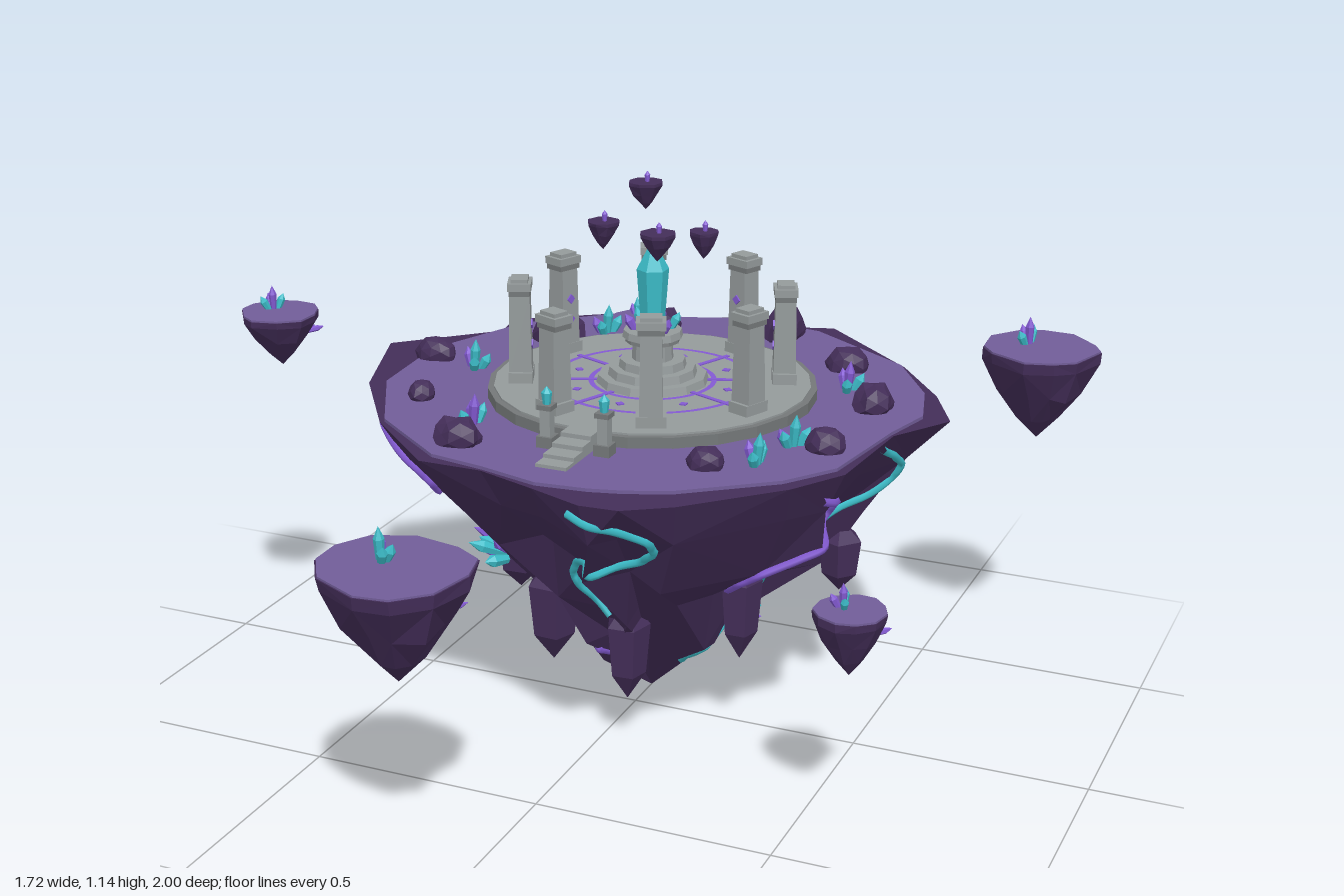
import * as THREE from 'three';

const mat = (name, color) => Object.assign(new THREE.MeshStandardMaterial({ color }), { name });
const V = (x, y, z) => new THREE.Vector3(x, y, z);
const UP = V(0, 1, 0);

function seeded(s) {
  return () => (s = (s * 16807) % 2147483647) / 2147483647;
}

// facet a geometry: every face gets its own normal
function flat(geo) {
  const g = geo.index ? geo.toNonIndexed() : geo;
  g.computeVertexNormals();
  return g;
}

function add(parent, name, geo, material, x = 0, y = 0, z = 0) {
  const m = new THREE.Mesh(geo, material);
  m.name = name;
  m.position.set(x, y, z);
  parent.add(m);
  return m;
}

function group(parent, name, x = 0, y = 0, z = 0) {
  const g = new THREE.Group();
  g.name = name;
  g.position.set(x, y, z);
  parent.add(g);
  return g;
}

// inverted rock: a rim, ridged and jittered rings [depth fraction, radius fraction], a lowest point
function rockGeo(rim, top, depth, levels, jitter = 0, rand = seeded(7)) {
  const n = rim.length, mean = rim.reduce((s, p) => s + Math.hypot(...p), 0) / n;
  const rings = [rim.map(([x, z]) => V(x, top, z))];
  for (const [d, f] of levels) {
    const rough = jitter * Math.min(1, d * 3);
    rings.push(rim.map(([x, z], j) => {
      const r = Math.hypot(x, z), a = Math.atan2(z, x) + (rand() - 0.5) * rough * 0.7;
      const ridge = 1 + rough * ((j % 2 ? 0.15 : -0.15) + rand() - 0.5);
      const q = (r + (mean - r) * (jitter ? d : 0)) * f * ridge;
      return V(Math.cos(a) * q, top - depth * (d + (rand() - 0.5) * rough * 0.35), Math.sin(a) * q);
    }));
  }
  const tris = [], c = V(0, top, 0), tip = V(0, top - depth, 0), last = rings[rings.length - 1];
  for (let j = 0; j < n; j++) {
    const k = (j + 1) % n;
    tris.push(c, rings[0][k], rings[0][j], last[j], last[k], tip);
    for (let i = 0; i + 1 < rings.length; i++) {
      const u = rings[i], l = rings[i + 1];
      if ((i + j) % 2) tris.push(u[j], u[k], l[j], u[k], l[k], l[j]);
      else tris.push(u[j], u[k], l[k], u[j], l[k], l[j]);
    }
  }
  return flat(new THREE.BufferGeometry().setFromPoints(tris));
}

function spun(profile, sides) {
  return flat(new THREE.LatheGeometry(profile.map(p => new THREE.Vector2(...p)), sides));
}
const crystalGeo = (r, h) => spun([[0, 0], [r * 0.7, 0], [r, h * 0.65], [0, h]], 6);

export function createModel() {
  const rock = mat('dark rock', 0x442e59), moss = mat('violet ground', 0x715d98);
  const stone = mat('stone', 0x949a9b), trim = mat('dark stone', 0x747879);
  const teal = mat('teal crystal', 0x3cbcc8), violet = mat('violet crystal', 0x835ad2);
  const root = new THREE.Group();
  root.name = 'floatingIsland';
  const island = group(root, 'mainIsland', 0, 0, -0.09);
  const rand = seeded(4211);

  // a fan of small crystals growing along a direction
  function cluster(parent, pos, dir, size, colours = [teal, violet, teal, teal]) {
    const g = group(parent, 'crystalCluster', pos.x, pos.y, pos.z);
    g.quaternion.setFromUnitVectors(UP, dir.clone().normalize());
    colours.forEach((m, i) => {
      const a = i * 2.3 + rand() * 2, o = i ? size * 0.17 : 0;
      const c = add(g, 'crystal', crystalGeo(size * 0.16, size * (i ? 0.7 : 1.05)), m, Math.cos(a) * o, -size * 0.08, Math.sin(a) * o);
      if (i) c.rotation.set(Math.sin(a) * 0.45, 0, -Math.cos(a) * 0.45);
    });
  }

  // main rock with its jagged rim
  const rim = [[0, -.61], [.09, -.565], [.2, -.6], [.435, -.39], [.555, -.23], [.625, -.09], [.545, .04], [.525, .285],
    [.455, .4], [.29, .57], [.2, .63], [.12, .635], [0, .59], [-.13, .545], [-.265, .545], [-.445, .38], [-.59, .17],
    [-.685, -.095], [-.495, -.28], [-.51, -.37], [-.3, -.515], [-.2, -.51]];
  const body = add(island, 'islandRock', rockGeo(rim, 0.678, 0.678,
    [[.13, .89], [.31, .72], [.5, .54], [.7, .35], [.86, .18]], 0.26, seeded(91)), rock);
  const mossRim = rim.map(([x, z]) => {
    const r = Math.hypot(x, z), f = Math.min(0.99, 0.575 / r);
    return [x * f, z * f];
  });
  add(island, 'islandGround', rockGeo(mossRim, 0.685, 0.008, [[1, 1]]), moss);

  // point on the rock's flank at an angle (0 = front, growing toward +x) and height
  body.updateMatrixWorld();
  function flank(a, y, out = 0) {
    const d = V(Math.sin(a), 0, Math.cos(a));
    const hit = new THREE.Raycaster(d.clone().multiplyScalar(2).setY(y), d.clone().negate()).intersectObject(body)[0];
    return hit ? hit.point.addScaledVector(d, out) : d.multiplyScalar(y * 0.85).setY(y);
  }

  // glowing veins winding down the flanks: angle, direction, colour, upper and lower height
  const wave = [0, .14, .25, .27, .22, .03, -.14, -.19, -.17, -.1, 0];
  [[.14, 1, teal, .65, .31], [-.98, 1, violet, .65, .36], [1.02, 1, violet, .62, .32], [1.47, 1, teal, .65, .28],
    [2.35, -1, violet, .66, .18], [3.05, -1, teal, .63, .4], [2.8, 1, teal, .42, .1], [3.6, 1, violet, .5, .25],
    [4.2, -1, teal, .64, .3], [4.85, 1, teal, .5, .28], [-.45, -1, violet, .27, .1],
    [1.2, 1, teal, .27, .09]].forEach(([a, s, m, y0, y1]) => {
    const pts = wave.flatMap((w, i) => [0, .5].map(h => {
      const t = Math.min(1, (i + h) / 10), w2 = wave[Math.min(10, i + 1)];
      return flank(a + s * (w + (w2 - w) * h), y0 + (y1 - y0) * t, 0.005);
    })).slice(0, -1);
    add(island, 'vein', new THREE.TubeGeometry(new THREE.CatmullRomCurve3(pts), 60, 0.0085, 5), m);
  });

  // crystals on the flanks
  [[-.78, .37, 1], [-1.1, .35, 0], [-1.6, .42, 1], [1.3, .24, 1], [2.25, .36, 1], [2.2, .25, 0], [2.75, .4, 1],
    [3.1, .42, 1], [3.9, .33, 1], [4.4, .28, 0], [1.9, .38, 1]].forEach(([a, y, t]) => {
    cluster(island, flank(a, y, 0.003), V(Math.sin(a), 0.45, Math.cos(a)), 0.088,
      t ? [teal, teal, violet, teal] : [violet, violet, teal]);
  });

  // hanging shards: angle, lowest point, height, radius
  [[-.65, .12, .21, .057], [-1.45, .2, .16, .057], [1.05, .18, .21, .046], [.23, .11, .2, .048], [1.75, .27, .14, .048],
    [2.75, .13, .16, .046], [3.6, .18, .18, .042], [4.2, .22, .16, .042], [2.1, .3, .13, .032]].forEach(([a, y, h, r]) => {
    const p = flank(a, y + h * 0.6, 0.025);
    const s = add(island, 'hangingShard', spun([[0, 0], [r * 0.8, h * 0.3], [r, h * 0.85], [0, h * 1.15]], 5), rock, p.x, y, p.z);
    s.rotation.y = a * 3;
  });

  // boulders on the ground: x, z, half sizes
  [[-.15, -.42, .038, .045], [.12, -.49, .043, .07], [-.34, -.26, .064, .055], [.33, -.31, .048, .036],
    [.46, -.09, .042, .05], [.45, .185, .042, .036], [.27, .37, .038, .03], [-.235, .435, .05, .04],
    [-.43, .225, .028, .032], [-.53, -.025, .048, .03]].forEach(([x, z, rx, rz], i) => {
    const g = new THREE.IcosahedronGeometry(1, 1), p = g.attributes.position, v = V(0, 0, 0);
    for (let k = 0; k < p.count; k++) {
      v.fromBufferAttribute(p, k);
      v.multiplyScalar(1 + 0.14 * Math.sin(4 * v.x + i) * Math.cos(3 * v.y + 5 * v.z + i));
      p.setXYZ(k, v.x, v.y, v.z);
    }
    const b = add(island, 'boulder', flat(g), rock, x, 0.695, z);
    b.scale.set(rx, (rx + rz) * 0.48, rz);
  });

  // crystals on the ground
  [[-.26, -.345, teal], [.375, -.175, violet], [-.42, .005, teal], [-.255, .33, violet], [.355, .315, teal],
    [.385, .19, teal]].forEach(([x, z, main]) =>
    cluster(island, V(x, 0.685, z), V(0.1, 1, 0.05), 0.07, [main, violet, teal, teal]));

  // round plaza with inlaid circles
  add(island, 'plazaRim', flat(new THREE.CylinderGeometry(.348, .348, .026, 24)), trim, 0, .695, 0);
  add(island, 'plaza', flat(new THREE.CylinderGeometry(.335, .335, .01, 24)), stone, 0, .707, 0);
  for (const r of [.215, .13]) {
    add(island, 'inlaidCircle', new THREE.RingGeometry(r - .0055, r + .0055, 48), violet, 0, .7135, 0).rotation.x = -Math.PI / 2;
  }
  for (let i = 0; i < 8; i++) {
    const a = i * Math.PI / 4;
    const g = group(island, 'inlay');
    g.rotation.y = a;
    add(g, 'inlaidDot', new THREE.BoxGeometry(.014, .003, .014), violet, 0, .713, .17).rotation.y = Math.PI / 4;
    const s = group(g, 'spoke');
    s.rotation.y = Math.PI / 8;
    add(s, 'inlaidSpoke', new THREE.BoxGeometry(.01, .003, .13), violet, 0, .713, .165);
  }

  // ring of eight pillars of uneven height
  const heights = [.212, .205, .2, .208, .212, .21, .21, .197];
  heights.forEach((h, i) => {
    const p = group(island, 'pillar');
    p.rotation.y = Math.PI / 8 + i * Math.PI / 4;
    const box = (name, w, y0, y1, m, d = w * 0.82) => add(p, name, new THREE.BoxGeometry(w, y1 - y0, d), m, 0, (y0 + y1) / 2, .277);
    box('pillarBase', .062, .71, .735, stone);
    const shaft = flat(new THREE.CylinderGeometry(.03, .034, h - .04, 4, 1).rotateY(Math.PI / 4));
    add(p, 'pillarShaft', shaft, stone, 0, .735 + (h - .04) / 2 - .005, .277);
    box('pillarCollar', .054, .69 + h, .702 + h, trim);
    box('pillarCap', .06, .702 + h, .718 + h, stone);
    box('pillarTop', .044, .718 + h, .726 + h, stone);
    // runes on the inner face
    for (const y of [.79, .835]) {
      add(p, 'rune', new THREE.BoxGeometry(.015, .015, .004), violet, 0, y, .2535).rotation.z = Math.PI / 4;
    }
  });

  // stepped pedestal and the great crystal
  [[.12, .71, .728, stone], [.095, .728, .745, stone], [.072, .745, .762, stone], [.044, .762, .8, stone],
    [.058, .8, .81, trim], [.064, .81, .825, stone]].forEach(([r, y0, y1, m]) =>
    add(island, 'pedestal', flat(new THREE.CylinderGeometry(r * .96, r, y1 - y0, 12)), m, 0, (y0 + y1) / 2, 0));
  add(island, 'greatCrystal', spun([[0, 0], [.024, 0], [.034, .135], [0, .2]], 6), teal, 0, .82, 0);
  for (let i = 0; i < 6; i++) {
    const a = i * Math.PI / 3;
    const c = add(island, 'pedestalCrystal', crystalGeo(.01, .045), i % 2 ? violet : teal, Math.sin(a) * .036, .82, Math.cos(a) * .036);
    c.rotation.set(Math.cos(a) * .5, 0, -Math.sin(a) * .5);
  }

  // front steps with two lantern posts
  [[.365, .718], [.405, .709], [.445, .7], [.48, .692]].forEach(([z, y]) =>
    add(island, 'step', new THREE.BoxGeometry(.066, y - .67, .04), stone, 0, (y + .67) / 2, z));
  for (const x of [-.062, .062]) {
    const p = group(island, 'lanternPost', x, 0, .385);
    add(p, 'postBase', new THREE.BoxGeometry(.034, .024, .034), trim, 0, .696, 0);
    add(p, 'postShaft', new THREE.BoxGeometry(.022, .06, .022), stone, 0, .735, 0);
    add(p, 'postCap', new THREE.BoxGeometry(.03, .01, .03), trim, 0, .768, 0);
    add(p, 'lanternCrystal', crystalGeo(.011, .038), teal, 0, .772, 0);
  }

  const ring = (r, n, rnd) => Array.from({ length: n }, (_, i) => {
    const a = i / n * Math.PI * 2 + (rnd() - .5) * .25, q = r * (.95 + rnd() * .1);
    return [Math.cos(a) * q, Math.sin(a) * q];
  });
  const taper = [[.12, .98], [.45, .7], [.75, .36]];

  // outer islets: x, top, z, radius, depth, main crystal
  [[-.365, .57, -.9, .1, .16, teal], [.735, .765, -.48, .122, .205, violet], [-.775, .83, .125, .085, .12, violet],
    [.615, .5, .41, .072, .135, violet], [-.1, .64, .85, .148, .23, teal]].forEach(([x, y, z, r, d, main], i) => {
    const rnd = seeded(500 + i * 77), g = group(root, 'islet', x, y, z), edge = ring(r, 11, rnd);
    add(g, 'isletRock', rockGeo(edge, -.004, d - .004, taper, .16, rnd), rock);
    add(g, 'isletGround', rockGeo(edge.map(([a, b]) => [a * .98, b * .98]), 0, .005, [[1, 1]]), moss);
    cluster(g, V(-r * .25, 0, -r * .1), V(0, 1, .05), .035 + r * .22, [main, violet, teal, teal]);
    cluster(g, V(r * .5, -d * .42, -r * .4), V(1, .3, -.8), .04, [violet, violet]);
  });

  // rocks hovering round the great crystal: x, top, z, radius
  [[-.055, 1.115, -.18, .037], [.095, 1.035, -.135, .032], [-.09, 1.06, -.04, .035], [.05, 1.06, .005, .038]].forEach(([x, y, z, r], i) => {
    const rnd = seeded(900 + i * 31), g = group(root, 'hoveringRock', x, y, z);
    add(g, 'hoveringStone', rockGeo(ring(r, 8, rnd), 0, .06, taper, .16, rnd), rock);
    add(g, 'hoveringCrystal', crystalGeo(.006, .025), violet, r * .1, -.002, 0);
  });
  return root;
}
